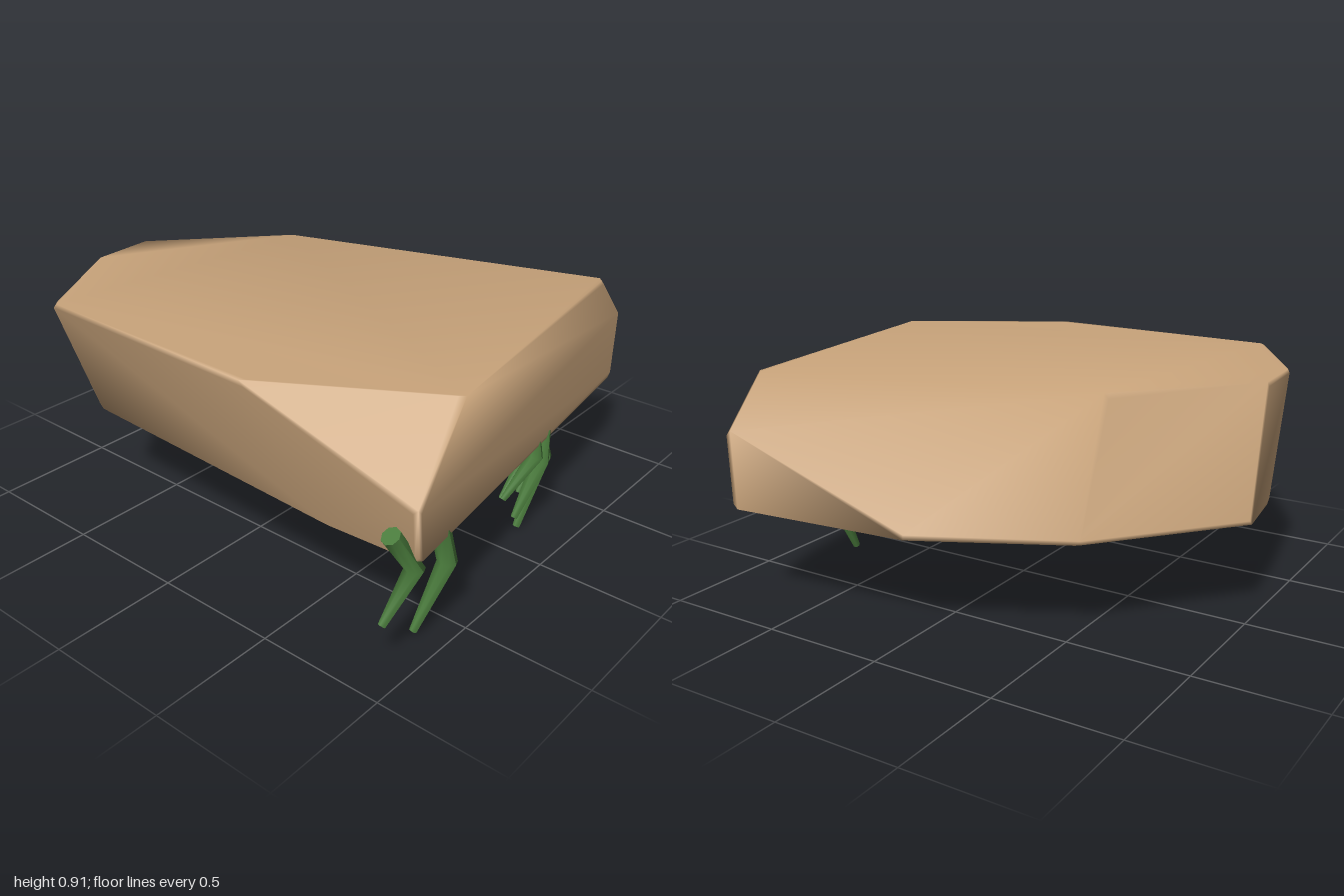
import * as THREE from 'three';
import { ConvexGeometry } from 'three/addons/geometries/ConvexGeometry.js';
import { mergeVertices } from 'three/addons/utils/BufferGeometryUtils.js';

const V = (p) => new THREE.Vector3(...p);

// Convex boulder: every corner is clipped by three points, giving narrow soft bevels
function boulderGeometry(corners, bevel) {
  const points = [];
  for (const [x, y, z] of corners) {
    points.push(
      V([x - Math.sign(x) * bevel, y, z]),
      V([x, y - Math.sign(y - 0.65) * bevel, z]),
      V([x, y, z - Math.sign(z) * bevel]),
    );
  }
  const geo = new ConvexGeometry(points);
  geo.deleteAttribute('normal');
  const smooth = mergeVertices(geo, 1e-4);
  smooth.computeVertexNormals();
  return smooth;
}

// Bent, tapering leg: a cylinder whose three rows are moved to root, knee and tip
function legGeometry(root, knee, tip, scale) {
  const path = [V(root), V(knee), V(tip)];
  const radii = [0.036, 0.038, 0.015];
  const upper = path[0].clone().sub(path[1]).normalize();
  const lower = path[1].clone().sub(path[2]).normalize();
  const dirs = [upper, upper.clone().add(lower).normalize(), lower];
  const up = new THREE.Vector3(0, 1, 0);
  const turns = dirs.map((d) => new THREE.Quaternion().setFromUnitVectors(up, d));
  const geo = new THREE.CylinderGeometry(1, 1, 1, 8, 2);
  const pos = geo.attributes.position;
  const v = new THREE.Vector3();
  for (let i = 0; i < pos.count; i++) {
    v.fromBufferAttribute(pos, i);
    const row = Math.round((0.5 - v.y) * 2);
    v.y = 0;
    v.multiplyScalar(radii[row] * scale).applyQuaternion(turns[row]).add(path[row]);
    pos.setXYZ(i, v.x, v.y, v.z);
  }
  geo.computeVertexNormals();
  return geo;
}

export function createModel() {
  const model = new THREE.Group();
  const stone = new THREE.MeshStandardMaterial({ color: 0xc9a47b });
  stone.name = 'tan stone';
  const green = new THREE.MeshStandardMaterial({ color: 0x4b7d3d });
  green.name = 'leaf green';

  // Boulder corners, as x and z around each level
  const top = [
    [-0.88, -0.69], [-0.46, -0.95], [-0.2, -0.965], [0.3, -0.55],
    [0.7, 0.79], [-0.53, 0.96], [-0.9, 0.34],
  ];
  const bottom = [
    [0.89, 0.77], [0.815, 0], [0.53, -0.57], [0.01, -1],
    [-0.28, -0.965], [-0.72, -0.68], [-0.78, 0.62], [-0.76, 0.975],
  ];
  const corners = [
    ...top.map(([x, z]) => [x, 0.912, z]),
    ...bottom.map(([x, z]) => [x, 0.405, z]),
    [0.893, 0.72, 0.775],
    [-0.81, 0.62, 1.0],
  ];
  const boulder = new THREE.Mesh(boulderGeometry(corners, 0.02), stone);
  boulder.name = 'boulder';
  model.add(boulder);

  // Legs: root, knee, tip, thickness
  const legs = [
    [[-0.83, 0.52, 0.91], [-0.73, 0.355, 0.935], [-0.855, 0.175, 0.9], 1],
    [[-0.57, 0.43, 0.92], [-0.525, 0.27, 0.925], [-0.65, 0.02, 0.88], 1],
    [[0.165, 0.43, 0.83], [0.175, 0.345, 0.84], [0.06, 0.18, 0.78], 0.85],
    [[0.2, 0.42, 0.79], [0.2, 0.32, 0.79], [0.08, 0.165, 0.76], 0.85],
    [[0.25, 0.43, 0.82], [0.235, 0.29, 0.83], [0.12, 0.075, 0.8], 0.95],
    [[0.25, 0.43, 0.79], [0.285, 0.29, 0.81], [0.16, 0.01, 0.79], 1],
    [[0.29, 0.43, 0.78], [0.315, 0.33, 0.78], [0.2, 0.14, 0.765], 0.85],
  ];
  const legGroup = new THREE.Group();
  legGroup.name = 'legs';
  legs.forEach((leg, i) => {
    const mesh = new THREE.Mesh(legGeometry(...leg), green);
    mesh.name = `leg${i + 1}`;
    legGroup.add(mesh);
  });
  model.add(legGroup);
  return model;
}
